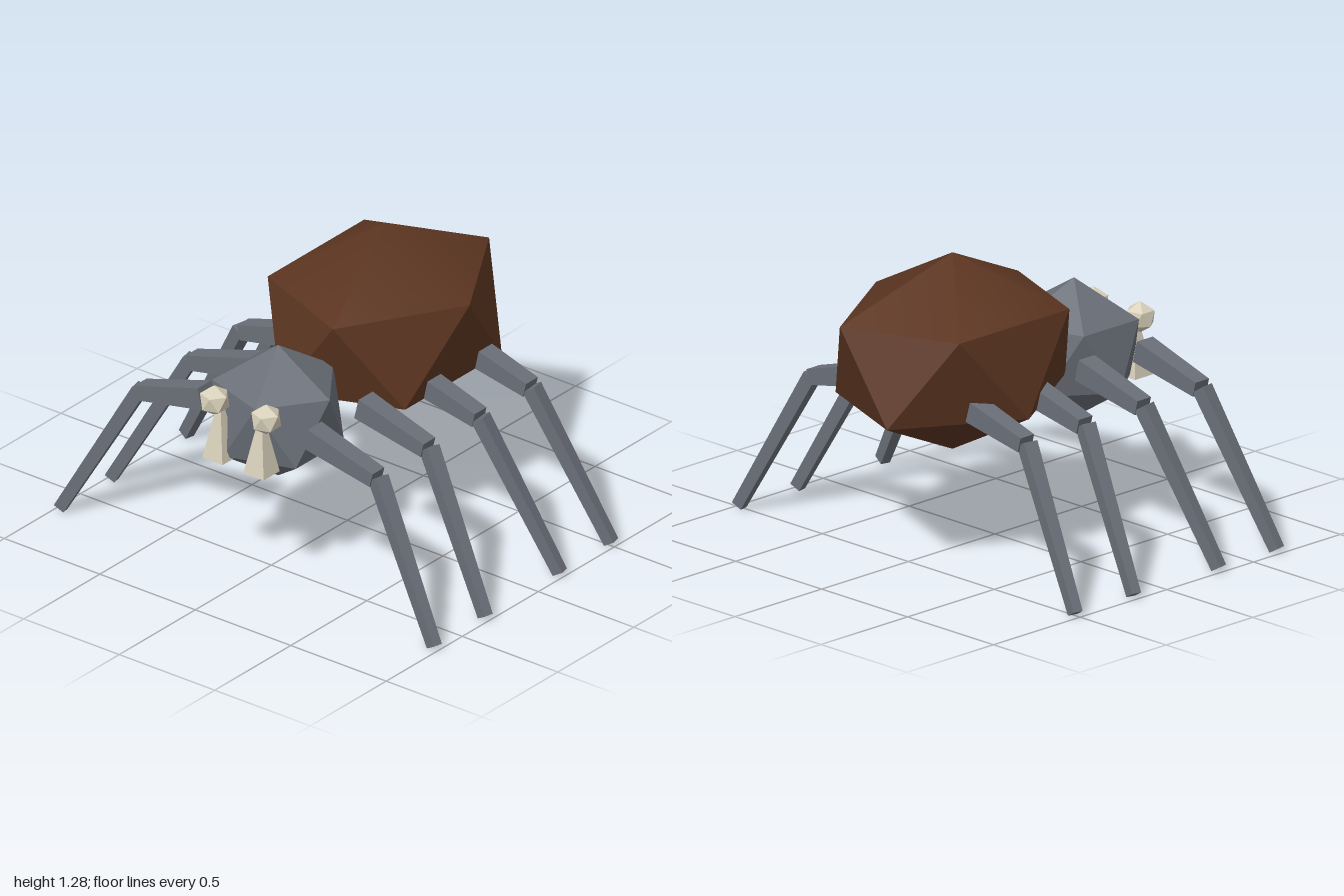
import * as THREE from 'three';
import { toCreasedNormals } from 'three/addons/utils/BufferGeometryUtils.js';
import { ConvexGeometry } from 'three/addons/geometries/ConvexGeometry.js';

const material = (name, color) => {
  const m = new THREE.MeshStandardMaterial({ color });
  m.name = name;
  return m;
};

// Twenty-sided ball standing on a point: two poles and two staggered rings of five
function facetedBall(rx, ry, rz) {
  const pts = [new THREE.Vector3(0, ry, 0), new THREE.Vector3(0, -ry, 0)];
  const h = 1 / Math.sqrt(5), r = 2 * h;
  for (let i = 0; i < 5; i++) {
    const a = (i * 2 * Math.PI) / 5, b = a + Math.PI / 5;
    pts.push(new THREE.Vector3(rx * r * Math.cos(a), ry * h, rz * r * Math.sin(a)));
    pts.push(new THREE.Vector3(rx * r * Math.cos(b), -ry * h, rz * r * Math.sin(b)));
  }
  return new ConvexGeometry(pts);
}

// Four-sided bar from point a to point b, with half width and half height at each end
function taperedBar(a, b, [wa, ha], [wb, hb], mat, name) {
  const length = a.distanceTo(b);
  const geo = new THREE.BoxGeometry(2, 2, length);
  const p = geo.attributes.position;
  for (let i = 0; i < p.count; i++) {
    const end = p.getZ(i) > 0;
    p.setX(i, p.getX(i) * (end ? wb : wa));
    p.setY(i, p.getY(i) * (end ? hb : ha));
  }
  geo.computeVertexNormals();
  const mesh = new THREE.Mesh(geo, mat);
  mesh.name = name;
  mesh.position.copy(a).add(b).multiplyScalar(0.5);
  mesh.lookAt(b);
  return mesh;
}

export function createModel() {
  const model = new THREE.Group();
  model.name = 'spider';
  const brown = material('abdomen brown', 0x5c3521);
  const grey = material('body grey', 0x6a6f78);
  const bone = material('bone', 0xd8d0ba);

  const add = (geo, mat, name, x, y, z) => {
    const mesh = new THREE.Mesh(geo, mat);
    mesh.name = name;
    mesh.position.set(x, y, z);
    model.add(mesh);
  };

  // Body
  const abdomen = toCreasedNormals(facetedBall(0.4975, 0.425, 0.604), THREE.MathUtils.degToRad(36));
  add(abdomen, brown, 'abdomen', 0, 0.852, -0.245);
  add(facetedBall(0.302, 0.302, 0.302), grey, 'head', 0, 0.7, 0.455);

  // Eyes and fangs
  const eye = facetedBall(0.068, 0.068, 0.068);
  const fang = new THREE.CylinderGeometry(0.012 * Math.SQRT2, 0.053 * Math.SQRT2, 0.23, 4).toNonIndexed();
  fang.rotateY(Math.PI / 4);
  fang.computeVertexNormals();
  for (const [side, s] of [['left', 1], ['right', -1]]) {
    add(eye, bone, side + 'Eye', s * 0.135, 0.805, 0.703);
    add(fang, bone, side + 'Fang', s * 0.108, 0.665, 0.7);

    // Legs: the front two reach forward, the rear two reach back
    [0.578, 0.243, -0.094, -0.431].forEach((z, i) => {
      const leg = new THREE.Group();
      leg.name = side + 'Leg' + (i + 1);
      const lean = i < 2 ? 0.078 : -0.075;
      const v = (x, y, dz) => new THREE.Vector3(s * x, y, z + dz);
      leg.add(
        taperedBar(v(0.277, 0.728, 0), v(0.615, 0.643, 0), [0.046, 0.048], [0.039, 0.033], grey, 'upperLeg'),
        taperedBar(v(0.622, 0.645, 0), v(0.978, 0.0125, lean), [0.033, 0.03], [0.022, 0.025], grey, 'lowerLeg'),
      );
      model.add(leg);
    });
  }
  return model;
}
